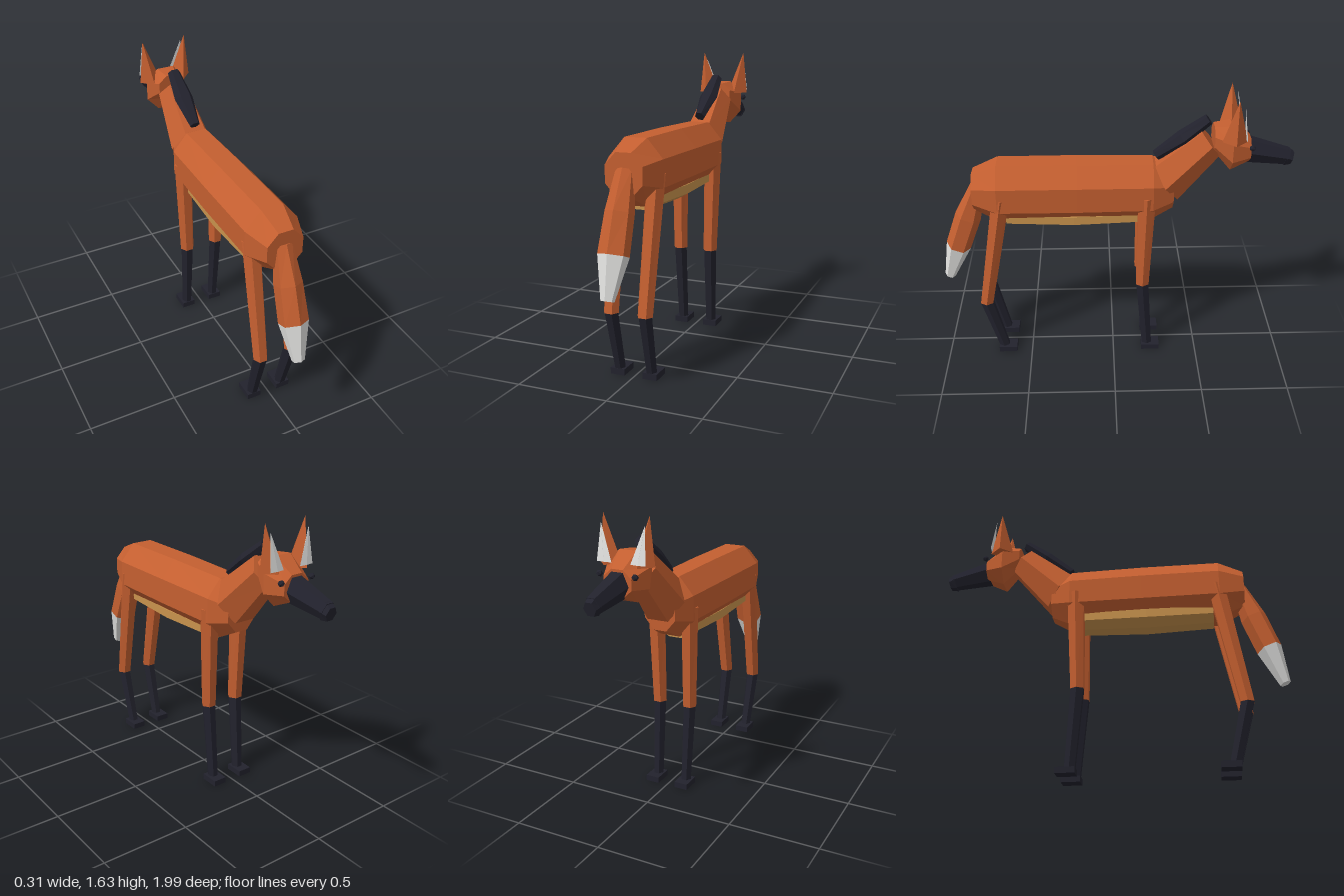
import * as THREE from 'three';

const flat = (color, name) => {
  const m = new THREE.MeshStandardMaterial({ color, flatShading: true });
  m.name = name;
  return m;
};

// Closed loft through polygon rings [x, y, z, halfWidth, halfDepth].
// tilt turns the rings about x: 0 = upright ring, PI/2 = lying ring.
function loft(rings, sides, tilt, phase) {
  const n = new THREE.Vector3(0, Math.cos(tilt), Math.sin(tilt));
  const first = rings[0], last = rings[rings.length - 1];
  const along = -(last[1] - first[1]) * n.z + (last[2] - first[2]) * n.y;
  const ordered = along < 0 ? [...rings].reverse() : rings;
  const pos = [], index = [];
  for (const [x, y, z, rx, rn] of ordered) {
    for (let i = 0; i < sides; i++) {
      const a = phase + (i / sides) * Math.PI * 2, d = rn * Math.sin(a);
      pos.push(x + rx * Math.cos(a), y + d * n.y, z + d * n.z);
    }
  }
  for (let r = 0; r < ordered.length - 1; r++) {
    for (let i = 0; i < sides; i++) {
      const a = r * sides + i, b = r * sides + (i + 1) % sides;
      index.push(a, b, b + sides, a, b + sides, a + sides);
    }
  }
  const top = (ordered.length - 1) * sides;
  for (let i = 1; i < sides - 1; i++) {
    index.push(0, i + 1, i, top, top + i, top + i + 1);
  }
  const g = new THREE.BufferGeometry();
  g.setAttribute('position', new THREE.Float32BufferAttribute(pos, 3));
  g.setIndex(index);
  const out = g.toNonIndexed();
  out.computeVertexNormals();
  return out;
}

export function createModel() {
  const model = new THREE.Group();
  model.name = 'longLeggedCanine';
  const rust = flat(0xc45f30, 'rustFur');
  const dark = flat(0x22222d, 'darkFur');
  const tan = flat(0xc8924c, 'tanBelly');
  const white = flat(0xe0e0de, 'whiteFur');

  const add = (name, geometry, material) => {
    const mesh = new THREE.Mesh(geometry, material);
    mesh.name = name;
    model.add(mesh);
    return mesh;
  };
  const part = (name, material, rings, sides = 6, tilt = 0, phase = 0) =>
    add(name, loft(rings, sides, tilt, phase), material);
  const E = Math.PI / 8, S = Math.PI / 6, H = Math.PI / 2;

  // Torso and belly
  part('body', rust, [
    [0, 1.07, -0.335, 0.1, 0.12],
    [0, 1.07, -0.22, 0.155, 0.184],
    [0, 1.07, 0.2, 0.162, 0.19],
    [0, 1.07, 0.64, 0.162, 0.188],
    [0, 1.075, 0.78, 0.11, 0.12],
  ], 8, 0, E);
  part('belly', tan, [
    [0, 0.925, -0.16, 0.105, 0.06],
    [0, 0.92, 0.22, 0.12, 0.066],
    [0, 0.925, 0.6, 0.105, 0.06],
  ], 8, 0, E);

  // Neck and mane
  part('neck', rust, [
    [0, 1.12, -0.285, 0.125, 0.14],
    [0, 1.355, -0.53, 0.09, 0.098],
  ], 6, 0.65);
  part('mane', dark, [
    [0, 1.27, -0.235, 0.03, 0.03],
    [0, 1.375, -0.38, 0.055, 0.042],
    [0, 1.482, -0.515, 0.036, 0.03],
  ], 6, 0.64);

  // Head, snout and nose
  part('head', rust, [
    [0, 1.38, -0.545, 0.085, 0.076],
    [0, 1.33, -0.64, 0.13, 0.14],
    [0, 1.315, -0.745, 0.085, 0.075],
  ], 8, 0, E);
  part('snout', dark, [
    [0, 1.307, -0.72, 0.065, 0.079],
    [0, 1.257, -0.965, 0.042, 0.05],
  ], 6, -0.22);
  part('nose', dark, [
    [0, 1.257, -0.95, 0.043, 0.056],
    [0, 1.248, -0.987, 0.035, 0.04],
  ], 6, -0.22);

  // Tail with pale tip
  part('tail', rust, [
    [0, 1.1, 0.755, 0.05, 0.04],
    [0, 0.9, 0.825, 0.074, 0.074],
    [0, 0.703, 0.898, 0.081, 0.072],
  ], 6, 1.21, S);
  part('tailTip', white, [
    [0, 0.703, 0.898, 0.081, 0.072],
    [0, 0.493, 0.968, 0.035, 0.031],
  ], 6, 1.21, S);

  for (const [side, s] of [['left', 1], ['right', -1]]) {
    // Ears
    part(side + 'Ear', rust, [
      [s * 0.093, 1.39, -0.648, 0.063, 0.068],
      [s * 0.13, 1.635, -0.65, 0.0005, 0.0005],
    ], 4, H);
    part(side + 'InnerEar', white, [
      [s * 0.095, 1.405, -0.709, 0.042, 0.004],
      [s * 0.122, 1.59, -0.684, 0.001, 0.001],
    ], 4, H);

    // Eyes
    add(side + 'Eye', new THREE.IcosahedronGeometry(0.018, 0), dark)
      .position.set(s * 0.1, 1.355, -0.745);

    // Legs: hip, knee, ankle and paw
    const legs = [
      ['Front', [1.07, -0.185], [0.48, -0.17], [0.02, -0.205], -0.225],
      ['Rear', [1.07, 0.62], [0.36, 0.75], [0.02, 0.665], 0.645],
    ];
    for (const [end, hip, knee, ankle, paw] of legs) {
      part(side + end + 'UpperLeg', rust, [
        [s * 0.103, ...hip, 0.052, 0.056],
        [s * 0.095, ...knee, 0.042, 0.042],
      ], 6, H);
      part(side + end + 'LowerLeg', dark, [
        [s * 0.095, ...knee, 0.038, 0.041],
        [s * 0.09, ...ankle, 0.03, 0.033],
      ], 6, H);
      add(side + end + 'Paw', new THREE.BoxGeometry(0.08, 0.034, 0.108), dark)
        .position.set(s * 0.092, 0.017, paw);
    }
  }
  return model;
}
